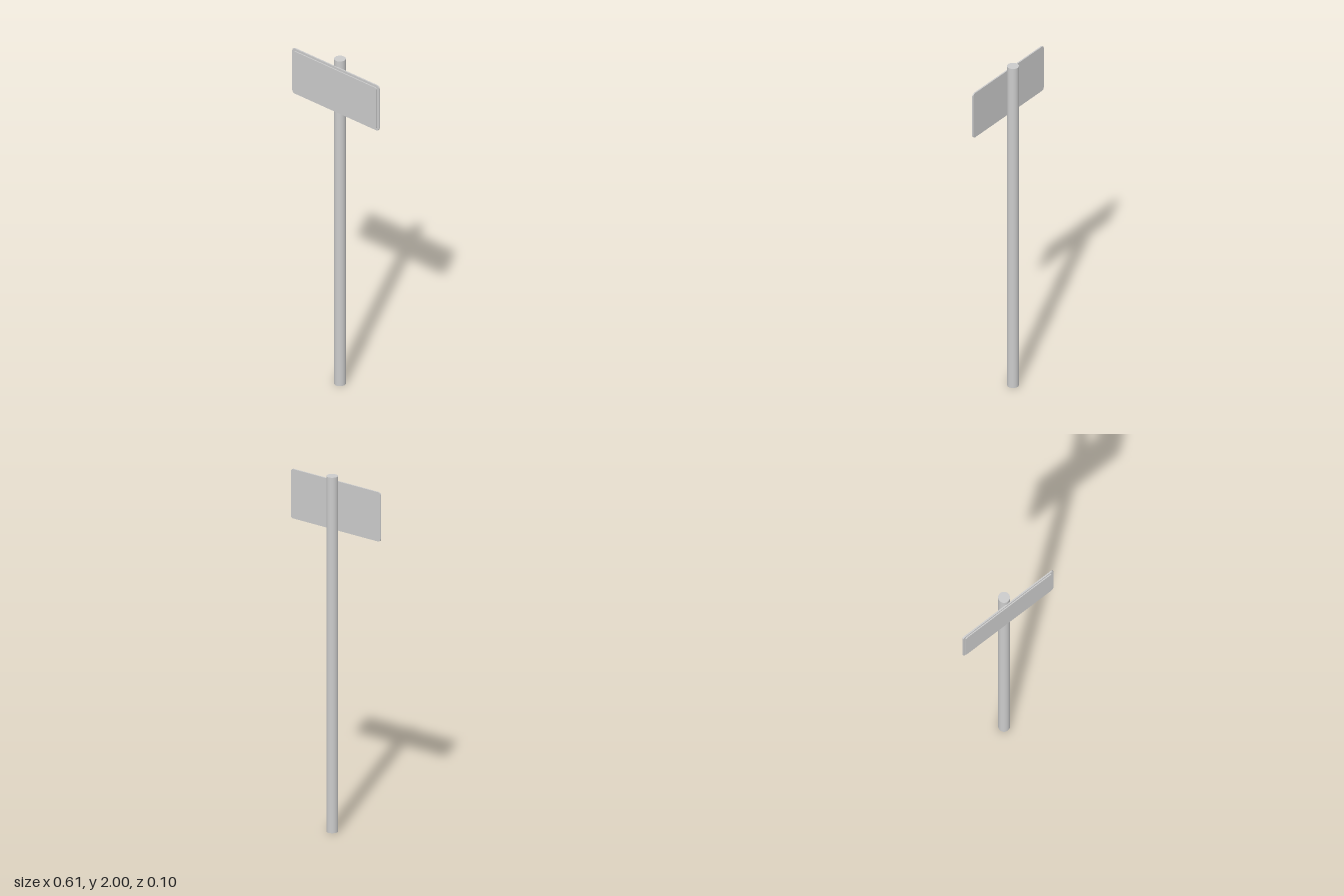
import * as THREE from 'three';

const material = new THREE.MeshStandardMaterial({ color: 0xcccccc });

// Rounded rectangular plate whose back lies on z = 0
function plate(name, width, height, depth, radius) {
  const x = width / 2, y = height / 2, r = radius;
  const shape = new THREE.Shape();
  shape.moveTo(-x + r, -y);
  shape.lineTo(x - r, -y);
  shape.absarc(x - r, -y + r, r, -Math.PI / 2, 0);
  shape.lineTo(x, y - r);
  shape.absarc(x - r, y - r, r, 0, Math.PI / 2);
  shape.lineTo(-x + r, y);
  shape.absarc(-x + r, y - r, r, Math.PI / 2, Math.PI);
  shape.lineTo(-x, -y + r);
  shape.absarc(-x + r, -y + r, r, Math.PI, Math.PI * 1.5);
  const geometry = new THREE.ExtrudeGeometry(shape, { depth, bevelEnabled: false, curveSegments: 6 });
  const mesh = new THREE.Mesh(geometry, material);
  mesh.name = name;
  return mesh;
}

export function createModel() {
  const model = new THREE.Group();
  model.name = 'signpost';

  // Round pole standing on the ground
  const pole = new THREE.Mesh(new THREE.CylinderGeometry(0.0315, 0.0315, 2, 48), material);
  pole.name = 'pole';
  pole.position.set(0.002, 1, -0.021);
  model.add(pole);

  // Sign: backing plate with a slightly smaller face plate, turned a little
  const sign = new THREE.Group();
  sign.name = 'sign';
  const back = plate('signBacking', 0.614, 0.277, 0.008, 0.016);
  const face = plate('signFace', 0.588, 0.251, 0.006, 0.01);
  face.position.z = 0.008;
  sign.add(back, face);
  sign.position.set(0, 1.826, 0.0075);
  sign.rotation.y = -0.098;
  model.add(sign);

  return model;
}
